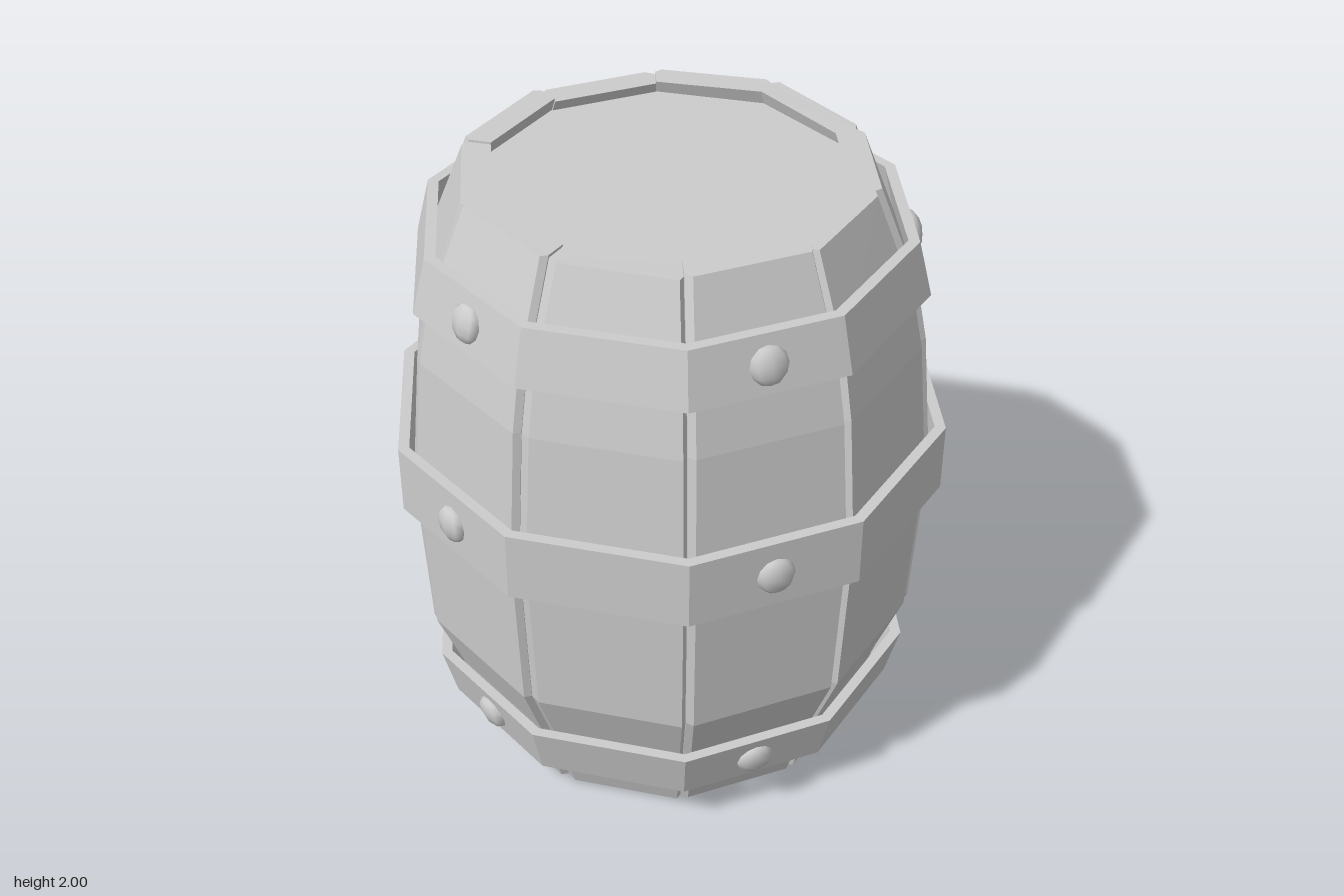
import * as THREE from 'three';

const SIDES = 10;
const STEP = (Math.PI * 2) / SIDES;
const HALF = STEP / 2;
const wood = new THREE.MeshStandardMaterial({ color: 0xcccccc, flatShading: true });
const metal = new THREE.MeshStandardMaterial({ color: 0xcccccc, flatShading: true });
const rivetMat = new THREE.MeshStandardMaterial({ color: 0xcccccc });

// Small seeded generator for hand-cut irregularity
let seed = 7;
function rand() {
  seed = (seed * 16807) % 2147483647;
  return seed / 2147483647;
}

// Belly profile: [height, corner radius]
const PROFILE = [[0, 0.635], [0.3, 0.735], [0.5, 0.815], [1.05, 0.843], [1.5, 0.8], [1.68, 0.763], [2, 0.637]];

// One plank: a wedge with chamfered outer edges swept up the belly profile, facing +z
function staveGeometry() {
  const cutL = 0.012 + rand() * 0.025;
  const cutR = 0.012 + rand() * 0.025;
  const depth = 0.022;
  const ends = [0, 1].map(() => [rand() * 0.016, rand() * 0.016]);
  const tan = Math.tan(HALF);
  const pos = [];
  const index = [];
  const n = 6;
  PROFILE.forEach(([y, r], k) => {
    const a = r * Math.cos(HALF);
    const low = a - depth;
    const inner = a - 0.088;
    const section = [
      [-low * tan * 0.997, low], [-a * tan + cutL, a], [a * tan - cutR, a],
      [low * tan * 0.997, low], [inner * tan, inner], [-inner * tan, inner],
    ];
    section.forEach(([x, z]) => {
      const side = x < 0 ? 0 : 1;
      let h = y;
      if (k === 0) h += ends[0][side];
      if (k === PROFILE.length - 1) h -= ends[1][side];
      pos.push(x, h, z);
    });
  });
  for (let k = 0; k < PROFILE.length - 1; k++) {
    for (let i = 0; i < n; i++) {
      const a = k * n + i;
      const b = k * n + ((i + 1) % n);
      index.push(a, b, b + n, a, b + n, a + n);
    }
  }
  // End grain caps
  const top = (PROFILE.length - 1) * n;
  for (let i = 1; i < n - 1; i++) {
    index.push(0, i + 1, i, top, top + i, top + i + 1);
  }
  const geo = new THREE.BufferGeometry();
  geo.setAttribute('position', new THREE.Float32BufferAttribute(pos, 3));
  geo.setIndex(index);
  geo.computeVertexNormals();
  return geo;
}

// Ten-sided metal hoop with a real thickness
function hoopGeometry(y0, r0, y1, r1, t = 0.035) {
  const points = [[r0, y0], [r1, y1], [r1 - t, y1], [r0 - t, y0], [r0, y0]];
  return new THREE.LatheGeometry(points.map(([r, y]) => new THREE.Vector2(r, y)), SIDES);
}

export function createModel() {
  const barrel = new THREE.Group();
  barrel.name = 'barrel';
  const add = (parent, name, geo, mat) => {
    const mesh = new THREE.Mesh(geo, mat);
    mesh.name = name;
    parent.add(mesh);
    return mesh;
  };

  // Staves
  const staves = new THREE.Group();
  staves.name = 'staves';
  for (let i = 0; i < SIDES; i++) {
    add(staves, 'stave', staveGeometry(), wood).rotation.y = HALF + i * STEP;
  }
  barrel.add(staves);

  // Recessed lid and base
  for (const [name, y] of [['lid', 1.935], ['base', 0.065]]) {
    add(barrel, name, new THREE.CylinderGeometry(0.57, 0.57, 0.03, SIDES), wood).position.y = y;
  }

  // Hoops, each with five domed rivets on alternate faces
  const hoops = [
    ['lowerHoop', 0.165, 0.755, 0.34, 0.8],
    ['middleHoop', 0.97, 0.882, 1.195, 0.882],
    ['upperHoop', 1.665, 0.8, 1.84, 0.755],
  ];
  for (const [name, y0, r0, y1, r1] of hoops) {
    const group = new THREE.Group();
    group.name = name;
    add(group, 'band', hoopGeometry(y0, r0, y1, r1), metal);
    const apothem = ((r0 + r1) / 2) * Math.cos(HALF);
    const tilt = Math.atan2((r1 - r0) * Math.cos(HALF), y1 - y0);
    for (let i = 0; i < 5; i++) {
      const pivot = new THREE.Group();
      pivot.name = 'rivetMount';
      pivot.rotation.y = -Math.PI / 2 + i * STEP * 2;
      const rivet = add(pivot, 'rivet', new THREE.SphereGeometry(0.061, 8, 6), rivetMat);
      rivet.position.set(0, (y0 + y1) / 2 - 0.005, apothem);
      rivet.rotation.x = tilt;
      rivet.scale.z = 0.5;
      group.add(pivot);
    }
    barrel.add(group);
  }

  barrel.position.x = 0.007;
  const model = new THREE.Group();
  model.name = 'barrelModel';
  model.add(barrel);
  return model;
}
